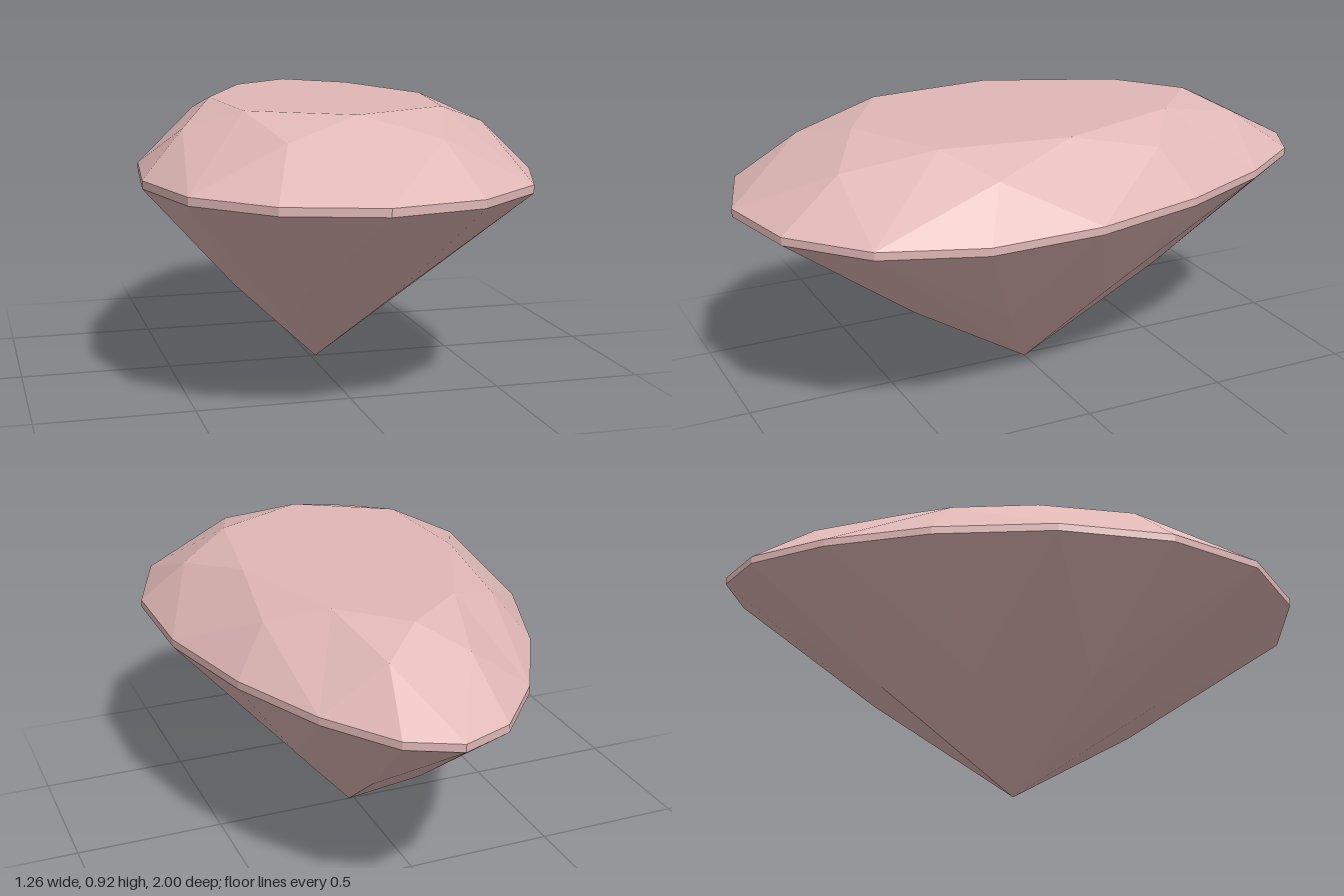
import * as THREE from 'three';

// Pear-shaped girdle outline (x, z), clockwise from the pointed back
const OUTLINE = [
  [0.07, -1], [0.23, -0.92], [0.39, -0.685], [0.53, -0.36],
  [0.625, 0.03], [0.63, 0.41], [0.51, 0.73], [0.275, 0.935],
  [-0.03, 1], [-0.33, 0.905], [-0.545, 0.68], [-0.63, 0.35],
  [-0.59, -0.03], [-0.455, -0.41], [-0.28, -0.725], [-0.1, -0.935],
];
const N = OUTLINE.length;
const CENTER_X = 0.018;

// Point i of the outline, scaled towards the centre axis, at height y
const ring = (scale, y) => (i) => {
  const [x, z] = OUTLINE[(i + N) % N];
  return [CENTER_X + (x - CENTER_X) * scale, y, z * scale];
};
const tableRing = ring(0.6, 0.92);
const crownRing = ring(0.78, 0.855);
const girdleTop = ring(1, 0.706);
const girdleBottom = ring(1, 0.68);
const pavilionRing = ring(0.5, 0.315);
const apex = [CENTER_X, 0, 0];

function facets(name, triangles, material) {
  const geometry = new THREE.BufferGeometry();
  geometry.setAttribute('position', new THREE.Float32BufferAttribute(triangles.flat(2), 3));
  geometry.computeVertexNormals(); // unshared corners give flat facets
  const mesh = new THREE.Mesh(geometry, material);
  mesh.name = name;
  return mesh;
}

export function createModel() {
  const rose = new THREE.MeshStandardMaterial({ color: 0xe0b8b6 });
  rose.name = 'rose stone';
  rose.flatShading = true;

  const table = [], crown = [], girdle = [], pavilion = [];
  const tableCenter = [CENTER_X, 0.92, 0];

  for (let i = 0; i < N; i += 2) {
    const t = tableRing(i), tNext = tableRing(i + 2);
    const mPrev = crownRing(i - 1), m = crownRing(i + 1);
    const g0 = girdleTop(i), g1 = girdleTop(i + 1), g2 = girdleTop(i + 2);
    const b0 = girdleBottom(i), b1 = girdleBottom(i + 1), b2 = girdleBottom(i + 2);
    const pPrev = pavilionRing(i - 1), p = pavilionRing(i + 1);

    table.push([tableCenter, tNext, t]);
    // Star facet, kite facet (two halves), upper girdle facets
    crown.push([t, tNext, m], [t, m, g0], [t, g0, mPrev], [m, g1, g0], [m, g2, g1]);
    // Thin vertical band
    girdle.push([b1, b0, g0], [b1, g0, g1], [b2, b1, g1], [b2, g1, g2]);
    // Main pavilion kite (two halves), lower girdle facets
    pavilion.push([apex, b0, p], [apex, pPrev, b0], [p, b0, b1], [p, b1, b2]);
  }

  const gem = new THREE.Group();
  gem.name = 'pearCutGem';
  gem.add(
    facets('table', table, rose),
    facets('crown', crown, rose),
    facets('girdle', girdle, rose),
    facets('pavilion', pavilion, rose),
  );
  return gem;
}
